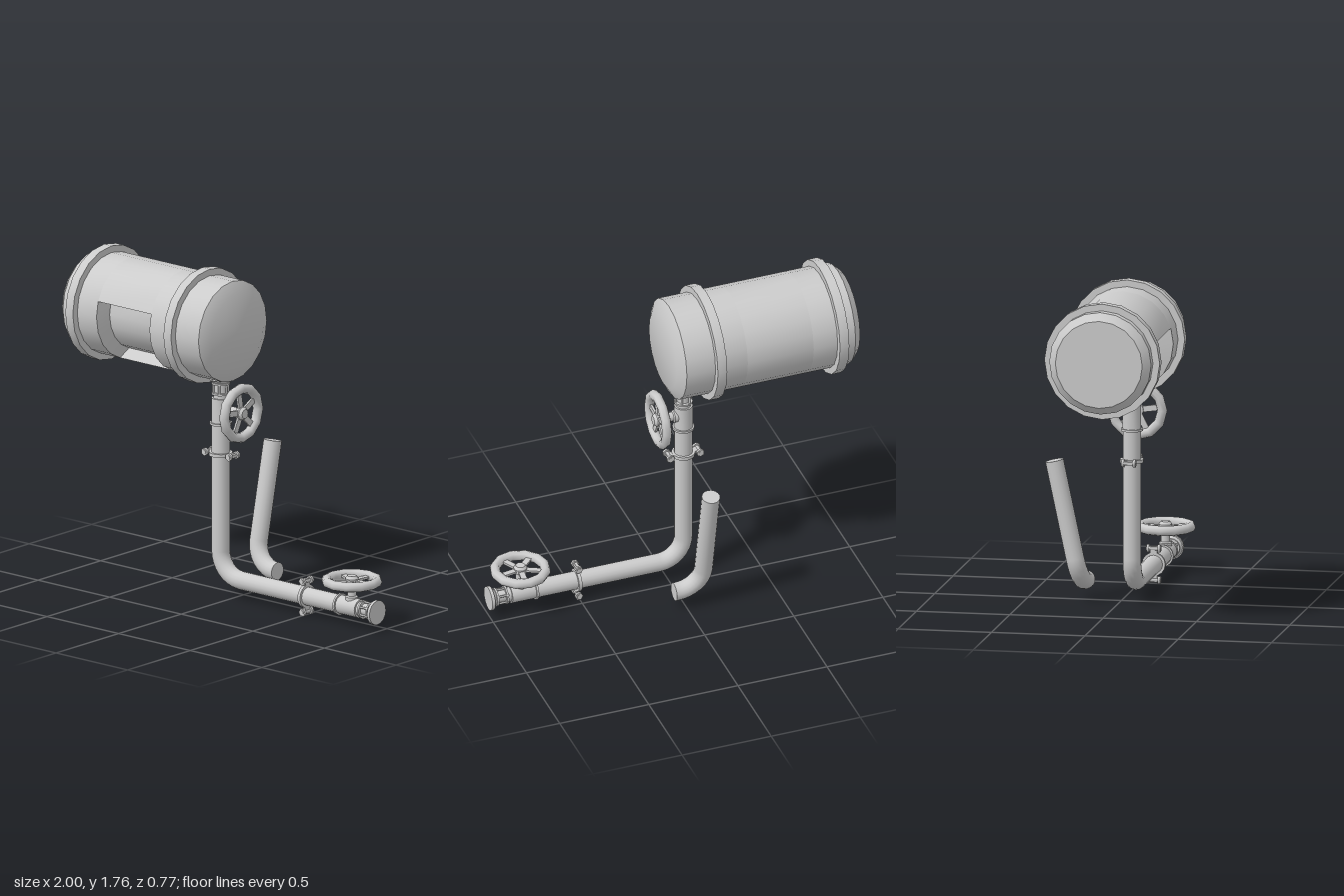
import * as THREE from 'three';
import { toCreasedNormals } from 'three/addons/utils/BufferGeometryUtils.js';

const grey = new THREE.MeshStandardMaterial({ color: 0xcccccc });
const greyThin = new THREE.MeshStandardMaterial({ color: 0xcccccc, side: THREE.DoubleSide });
const V = (p) => p.map(([r, y]) => new THREE.Vector2(r, y));

function add(parent, name, geo, x = 0, y = 0, z = 0, mat = grey) {
  const m = new THREE.Mesh(geo, mat);
  m.name = name;
  m.position.set(x, y, z);
  parent.add(m);
  return m;
}

function group(name, x = 0, y = 0, z = 0) {
  const g = new THREE.Group();
  g.name = name;
  g.position.set(x, y, z);
  return g;
}

// Turned part; profile is [radius, height] from bottom to top
function turned(profile, sides, start = 0, arc = Math.PI * 2) {
  return toCreasedNormals(new THREE.LatheGeometry(V(profile), sides, start, arc), 0.6);
}

// Barrel lying along x, with a tapered pocket cut in its front
function makeBarrel() {
  const g = group('barrel', 0, 1.467, 0.075);
  const R = 0.273, x0 = -0.725, x1 = -0.355, step = Math.PI / 10;
  const along = (geo) => geo.rotateZ(-Math.PI / 2);
  add(g, 'barrelLeftEnd', along(turned([[0, -1], [0.233, -1], [R, -0.96], [R, x0]], 20)));
  add(g, 'barrelRightEnd', along(turned([[R, x1], [R, -0.013], [0.21, 0.02], [0, 0.02]], 20)));
  add(g, 'barrelMiddle', along(turned([[R, x0], [R, x1]], 15, 4 * step, 15 * step)), 0, 0, 0, greyThin);
  for (const x of [-0.885, -0.2]) {
    const hoop = [[0.26, x - 0.026], [0.309, x - 0.026], [0.309, x + 0.026], [0.26, x + 0.026]];
    add(g, 'barrelHoop', along(turned(hoop, 20)));
  }
  // Pocket: the rim follows the barrel, inner vertices are drawn inward
  const geo = new THREE.PlaneGeometry(1, 1, 3, 7);
  const pos = geo.attributes.position;
  for (let i = 0; i < 8; i++) {
    for (let j = 0; j < 4; j++) {
      const inner = i > 0 && i < 7 && j > 0 && j < 3;
      const a = step * (1 - (THREE.MathUtils.clamp(i, 1, 6) - 1));
      const r = inner ? 0.225 : R, inset = inner ? 0.015 : 0;
      const x = j < 2 ? x0 + inset : x1 - inset;
      pos.setXYZ(i * 4 + j, x, r * Math.sin(a), r * Math.cos(a) - (inner ? 0.04 : 0));
    }
  }
  add(g, 'barrelPocket', toCreasedNormals(geo, 0.6), 0, 0, 0, greyThin);
  return g;
}

// Bent pipe: rises along y and runs along +x from the corner
function makePipe(name, up, side) {
  const g = group(name), bend = 0.14, r = 0.049;
  add(g, 'pipeRiser', new THREE.CylinderGeometry(r, r, up - bend, 16), 0, (up + bend) / 2, 0);
  add(g, 'pipeRun', new THREE.CylinderGeometry(r, r, side - bend, 16).rotateZ(Math.PI / 2), (side + bend) / 2, 0, 0);
  add(g, 'pipeElbow', new THREE.TorusGeometry(bend, r, 16, 8, Math.PI / 2).rotateZ(Math.PI), bend, bend, 0);
  return g;
}

// Valve on a pipe along y, with its stem and handwheel toward +x
function makeValve(name) {
  const g = group(name);
  const body = [
    [0, -0.085], [0.059, -0.085], [0.059, -0.073], [0.05, -0.073], [0.05, 0.06],
    [0.04, 0.06], [0.04, 0.08], [0.05, 0.08], [0.05, 0.09], [0.034, 0.09], [0.034, 0.135],
    [0.05, 0.135], [0.05, 0.145], [0.043, 0.145], [0.06, 0.163], [0.066, 0.163], [0.066, 0.18], [0, 0.18],
  ];
  add(g, 'valveBody', turned(body, 16));
  for (let k = 0; k < 6; k++) {
    const a = (k * Math.PI) / 3;
    add(g, 'valveBolt', new THREE.CylinderGeometry(0.006, 0.006, 0.07, 6), 0.042 * Math.cos(a), 0.112, 0.042 * Math.sin(a));
  }
  const stem = [
    [0, 0.03], [0.034, 0.03], [0.034, 0.056], [0.025, 0.062],
    [0.025, 0.125], [0.036, 0.128], [0.036, 0.155], [0.025, 0.17], [0, 0.17],
  ];
  add(g, 'valveStem', turned(stem, 12).rotateZ(-Math.PI / 2));

  const wheel = group('handwheel', 0.142);
  add(wheel, 'wheelRim', new THREE.TorusGeometry(0.135, 0.027, 8, 12).rotateY(Math.PI / 2));
  for (let k = 0; k < 5; k++) {
    const spoke = group('wheelSpoke');
    add(spoke, 'spokeBlade', new THREE.BoxGeometry(0.012, 0.115, 0.032), 0, 0.07, 0);
    spoke.rotation.x = 0.17 + (k * Math.PI * 2) / 5;
    wheel.add(spoke);
  }
  g.add(wheel);
  return g;
}

// Pipe clamp around y, with bolted lugs on either side
function makeClamp(name) {
  const g = group(name);
  add(g, 'clampCollar', new THREE.CylinderGeometry(0.063, 0.063, 0.018, 16));
  for (const s of [-1, 1]) {
    const x = s * 0.084;
    add(g, 'clampLug', new THREE.BoxGeometry(0.05, 0.016, 0.04), s * 0.072, 0, 0);
    add(g, 'clampBolt', new THREE.CylinderGeometry(0.012, 0.012, 0.08, 8).rotateX(Math.PI / 2), x, 0, 0);
    for (const z of [-0.03, 0.03]) {
      add(g, 'clampNut', new THREE.CylinderGeometry(0.022, 0.022, 0.014, 6).rotateX(Math.PI / 2), x, 0, z);
    }
  }
  return g;
}

export function createModel() {
  const model = new THREE.Group();
  model.name = 'barrelAndPipes';
  const px = -0.095, py = 0.117, pz = 0.075;
  model.add(makeBarrel());

  const mainPipe = makePipe('mainPipe', 0.843, 0.84);
  mainPipe.position.set(px, py, pz);
  const loosePipe = makePipe('loosePipe', 0.675, 0.155);
  loosePipe.position.set(px, 0.11, -0.2);
  loosePipe.rotation.x = -0.209;
  model.add(mainPipe, loosePipe);

  // One valve and clamp on the riser, one of each on the horizontal run
  for (const [name, make, y, x] of [['Valve', makeValve, 1.03, 0.82], ['Clamp', makeClamp, 0.785, 0.503]]) {
    const upper = make('upper' + name);
    upper.position.set(px, y, pz);
    const lower = make('lower' + name);
    lower.position.set(x, py, pz);
    lower.rotation.set(Math.PI, 0, -Math.PI / 2);
    model.add(upper, lower);
  }
  return model;
}
